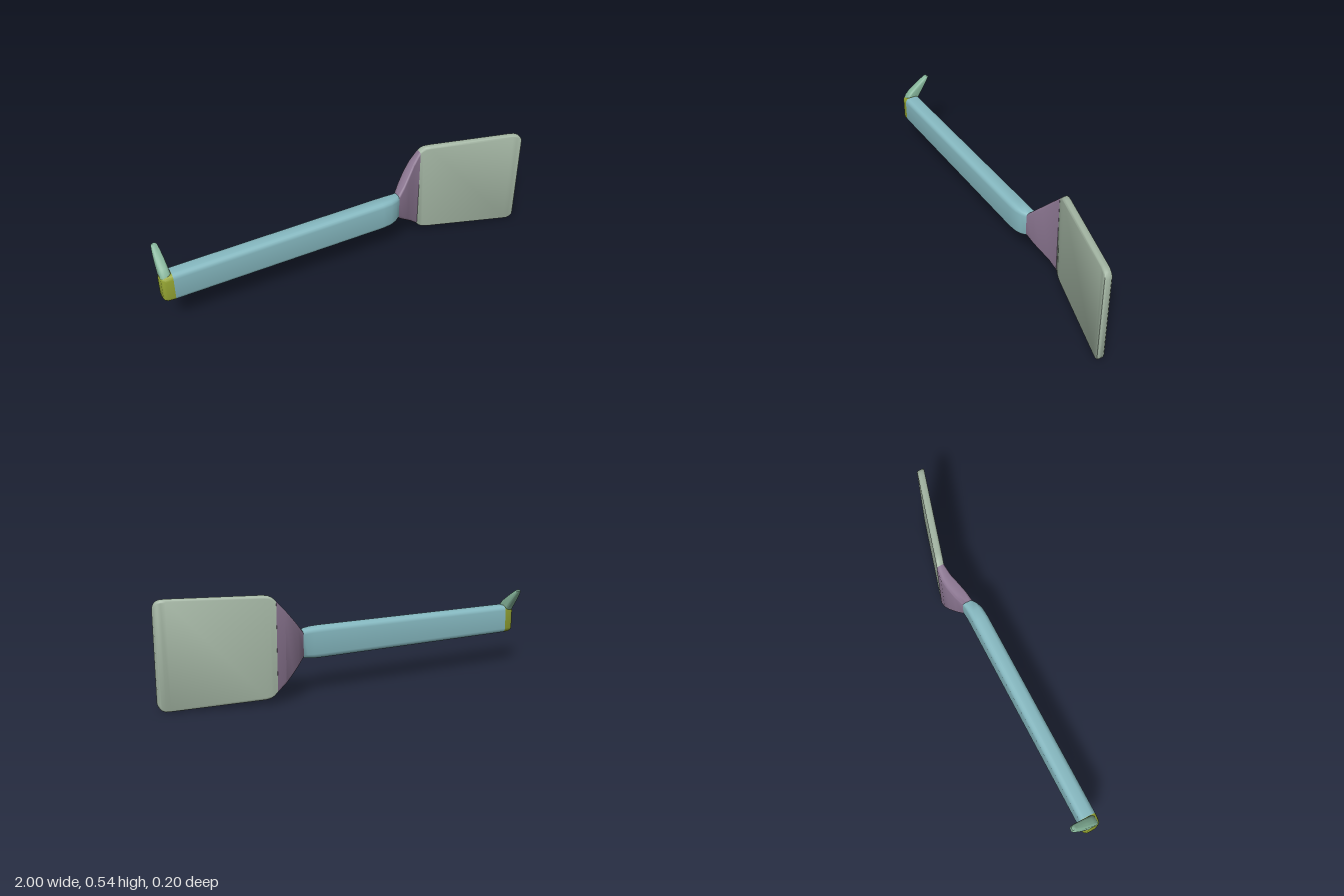
import * as THREE from 'three';
import { toCreasedNormals } from 'three/addons/utils/BufferGeometryUtils.js';

const ARC = 5; // points per rounded corner

// Rounded rectangle, counter-clockwise in (u, v)
function roundedRing(u0, u1, v0, v1, r) {
  const ru = Math.min(r, (u1 - u0) * 0.48), rv = Math.min(r, (v1 - v0) * 0.48);
  const centres = [[u1 - ru, v1 - rv], [u0 + ru, v1 - rv], [u0 + ru, v0 + rv], [u1 - ru, v0 + rv]];
  const ring = [];
  centres.forEach(([cu, cv], k) => {
    for (let i = 0; i < ARC; i++) {
      const a = (k + i / (ARC - 1)) * Math.PI / 2;
      ring.push([cu + ru * Math.cos(a), cv + rv * Math.sin(a)]);
    }
  });
  return ring;
}

// Skin over sections [w, u0, u1, v0, v1, r]; place(u, v, w) gives the xyz point
function loft(name, color, sections, place) {
  const n = ARC * 4, pos = [], idx = [];
  for (const [w, ...rect] of sections) {
    for (const [u, v] of roundedRing(...rect)) pos.push(...place(u, v, w));
  }
  for (let s = 0; s < sections.length - 1; s++) {
    for (let i = 0; i < n; i++) {
      const a = s * n + i, b = s * n + (i + 1) % n;
      idx.push(a, b, b + n, a, b + n, a + n);
    }
  }
  // Closed ends
  [0, sections.length - 1].forEach((s) => {
    const [w, u0, u1, v0, v1] = sections[s];
    const c = pos.length / 3;
    pos.push(...place((u0 + u1) / 2, (v0 + v1) / 2, w));
    for (let i = 0; i < n; i++) {
      const a = s * n + i, b = s * n + (i + 1) % n;
      if (s === 0) idx.push(c, b, a); else idx.push(c, a, b);
    }
  });
  const geo = new THREE.BufferGeometry();
  geo.setAttribute('position', new THREE.Float32BufferAttribute(pos, 3));
  geo.setIndex(idx);
  const mesh = new THREE.Mesh(toCreasedNormals(geo, 0.7), new THREE.MeshStandardMaterial({ color }));
  mesh.name = name;
  return mesh;
}

const alongX = (u, v, w) => [w, u, v]; // u = y, v = z
const alongY = (u, v, w) => [v, w, u]; // u = z, v = x

export function createModel() {
  const model = new THREE.Group();
  model.name = 'spatula';

  // Long grip, thinning at its front where it meets the neck
  model.add(loft('handle', 0x86b9c1, [
    [-0.945, 0.188, 0.34, -0.025, 0.06, 0.025],
    [0.18, 0.188, 0.348, -0.025, 0.058, 0.025],
    [0.23, 0.19, 0.347, -0.025, 0.054, 0.024],
    [0.265, 0.195, 0.344, -0.026, 0.043, 0.022],
    [0.29, 0.2, 0.34, -0.03, 0.027, 0.02],
  ], alongX));

  // Rounded butt of the grip
  model.add(loft('endCap', 0x93a332, [
    [-1, 0.205, 0.325, -0.008, 0.042, 0.015],
    [-0.994, 0.195, 0.332, -0.017, 0.052, 0.02],
    [-0.98, 0.19, 0.335, -0.023, 0.058, 0.024],
    [-0.945, 0.188, 0.34, -0.025, 0.06, 0.025],
  ], alongX));

  // Hanging hook, leaning up and back from the butt
  model.add(loft('hook', 0x86b59b, [
    [0.315, -0.02, 0.052, -0.998, -0.946, 0.014],
    [0.34, -0.036, 0.044, -0.998, -0.947, 0.016],
    [0.365, -0.055, 0.022, -0.997, -0.949, 0.016],
    [0.39, -0.073, -0.012, -0.995, -0.951, 0.015],
    [0.415, -0.09, -0.047, -0.992, -0.954, 0.013],
    [0.432, -0.1, -0.072, -0.988, -0.958, 0.01],
    [0.439, -0.094, -0.082, -0.982, -0.964, 0.005],
  ], alongY));

  // Flared neck bending back to the blade
  model.add(loft('neck', 0x8a7590, [
    [0.29, 0.2, 0.34, -0.03, 0.027, 0.02],
    [0.33, 0.167, 0.384, -0.056, 0.012, 0.02],
    [0.37, 0.134, 0.428, -0.076, -0.008, 0.02],
    [0.41, 0.1, 0.472, -0.088, -0.03, 0.019],
    [0.455, 0.062, 0.52, -0.087, -0.045, 0.016],
  ], alongX));

  // Flat blade slanting forward to its rounded tip
  const bladeOutline = [
    [0.455, 0.062, 0.52], [0.47, 0.046, 0.534], [0.485, 0.036, 0.541], [0.51, 0.031, 0.544],
    [0.945, 0.005, 0.546], [0.968, 0.005, 0.544], [0.984, 0.012, 0.537], [0.993, 0.024, 0.526],
  ];
  const blade = bladeOutline.map(([x, y0, y1]) => {
    const z = -0.066 + (x - 0.455) * 0.268;
    return [x, y0, y1, z - 0.02, z + 0.02, 0.014];
  });
  blade.push([1, 0.04, 0.51, 0.068, 0.092, 0.01]);
  model.add(loft('blade', 0xa3b5a3, blade, alongX));

  return model;
}
